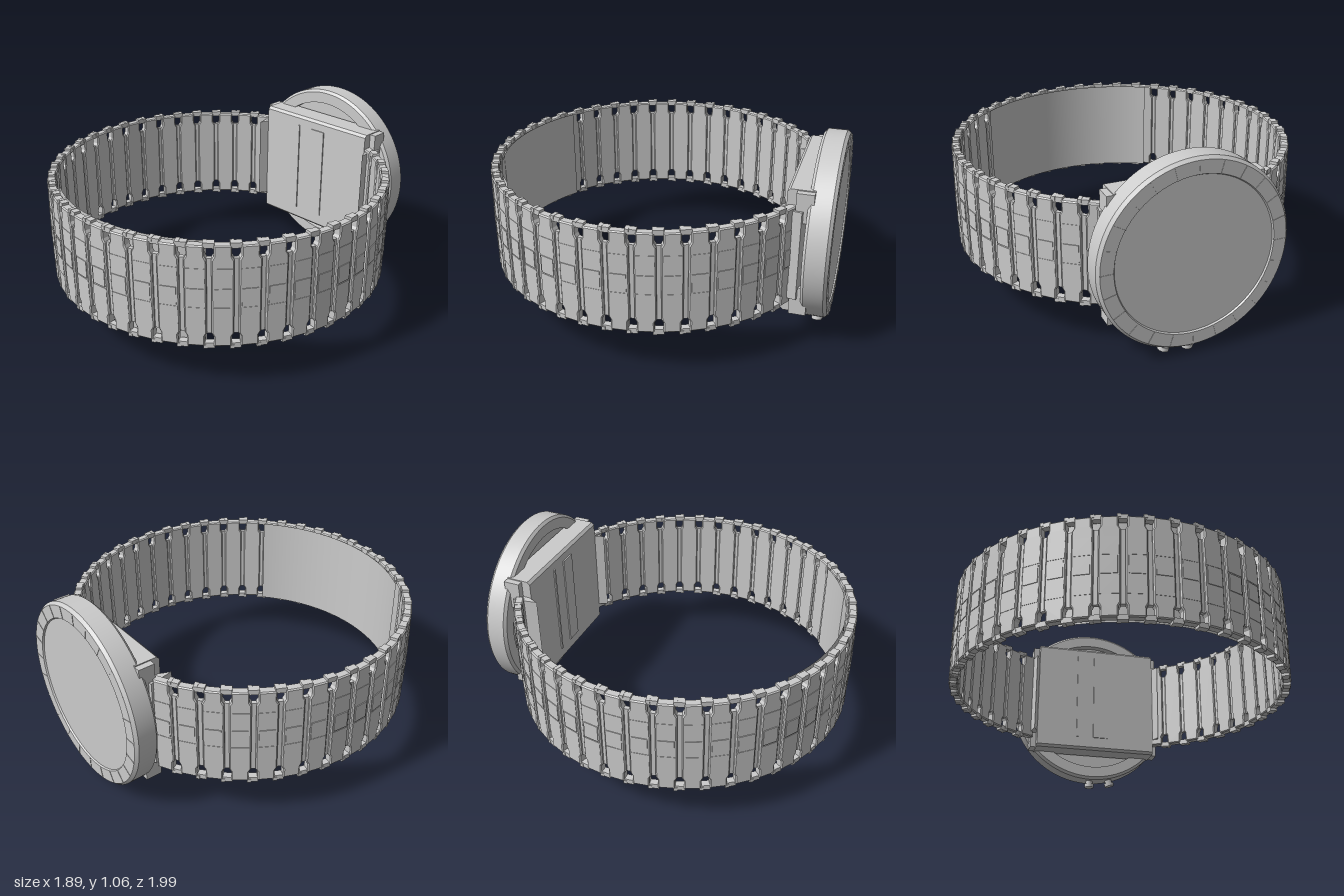
import * as THREE from 'three';
import { mergeGeometries, toCreasedNormals } from 'three/addons/utils/BufferGeometryUtils.js';

const grey = new THREE.MeshStandardMaterial({ color: 0xcccccc });
const thin = new THREE.MeshStandardMaterial({ color: 0xcccccc, side: THREE.DoubleSide });
const MID_Y = 0.54, RING_Z = 0.04, RING_R = 0.917, STEP = THREE.MathUtils.degToRad(8);

function add(parent, name, geometry, material = grey) {
  const mesh = new THREE.Mesh(geometry, material);
  mesh.name = name;
  parent.add(mesh);
  return mesh;
}

const box = (w, h, d, x = 0, y = 0, z = 0) => new THREE.BoxGeometry(w, h, d).translate(x, y, z);

function extrude(points, depth, bevel = 0) {
  const shape = new THREE.Shape(points.map(([x, y]) => new THREE.Vector2(x, y)));
  return new THREE.ExtrudeGeometry(shape, {
    depth, bevelEnabled: bevel > 0, bevelSize: bevel, bevelThickness: bevel, bevelOffset: -bevel, bevelSegments: 1,
  });
}

// plate with slimmer ends and three raised tiles; z points away from the wrist
function plateGeometry() {
  const w = 0.054, n = 0.043, h = 0.275, s = 0.2;
  const outline = [[-n, -h], [n, -h], [n, -s - 0.02], [w, -s], [w, s], [n, s + 0.02], [n, h], [-n, h], [-n, s + 0.02], [-w, s], [-w, -s], [-n, -s - 0.02]];
  const parts = [extrude(outline, 0.036, 0.006).translate(0, 0, -0.018)];
  parts.push(extrude([[-0.04, -0.048], [0.04, -0.048], [0.04, 0.048], [-0.04, 0.048]], 0.006).translate(0, 0, 0.022));
  for (const side of [-1, 1]) {
    parts.push(box(0.094, 0.1, 0.004, 0, side * 0.106, 0.024).toNonIndexed());
  }
  return mergeGeometries(parts);
}

// joint that sits in the gap between two plates, leaving a window near each edge
function jointGeometry() {
  const parts = [box(0.06, 0.41, 0.022)];
  for (const side of [-1, 1]) {
    parts.push(box(0.052, 0.028, 0.036, 0, side * 0.274, 0));
    parts.push(box(0.02, 0.02, 0.042, -0.02, side * 0.28, 0));
  }
  return mergeGeometries(parts);
}

function buildBand() {
  const band = new THREE.Group();
  band.name = 'band';
  const plate = plateGeometry(), joint = jointGeometry();
  const place = (mesh, a) => {
    mesh.position.set(RING_R * Math.sin(a), MID_Y, RING_Z + RING_R * Math.cos(a));
    mesh.rotation.y = a;
  };
  for (let i = -19; i <= 19; i++) {
    place(add(band, 'linkPlate', plate), i * STEP);
    if (i < 19) place(add(band, 'linkJoint', joint), (i + 0.5) * STEP);
  }
  // smooth sheet lining the inside of the front links
  const from = -0.56, to = 0.75;
  const liner = new THREE.CylinderGeometry(0.881, 0.881, 0.55, 40, 1, true, from, to - from);
  add(band, 'innerLiner', liner.translate(0, MID_Y, RING_Z), thin);
  return band;
}

function buildDial() {
  const dial = new THREE.Group();
  dial.name = 'dial';
  const profile = [[0, -0.02], [0.43, -0.02], [0.43, -0.067], [0.495, -0.067], [0.51, -0.052], [0.51, 0.05],
    [0.495, 0.067], [0.425, 0.067], [0.42, 0.058], [0, 0.058]].map(([x, y]) => new THREE.Vector2(x, y));
  const body = new THREE.LatheGeometry(profile, 96).rotateX(-Math.PI / 2);
  add(dial, 'roundCase', toCreasedNormals(body, 0.4));
  // division marks around the bezel
  const mark = box(0.004, 0.07, 0.004, 0, 0.46, -0.067);
  for (let i = 0; i < 24; i++) add(dial, 'bezelMark', mark).rotation.z = i * Math.PI / 12;
  // two push buttons on the lower rim
  const button = mergeGeometries([
    new THREE.CylinderGeometry(0.022, 0.022, 0.04, 20).translate(0, -0.515, 0),
    new THREE.CylinderGeometry(0.03, 0.03, 0.022, 20).translate(0, -0.539, 0),
  ]);
  for (const angle of [0, 0.25]) add(dial, 'pushButton', button).rotation.z = angle;
  dial.position.set(0.015, 0.55, -0.922);
  dial.rotation.y = 0.02;
  return dial;
}

function buildMount() {
  const mount = new THREE.Group();
  mount.name = 'mount';
  // block between dial and wrist, chamfered on the wrist side
  const side = [[-0.055, -0.335], [-0.04, -0.35], [0.085, -0.35], [0.085, 0.35], [-0.04, 0.35], [-0.055, 0.335]];
  add(mount, 'mountBlock', extrude(side, 0.76).translate(0, 0, -0.38).rotateY(Math.PI / 2));
  // raised strips on the wrist side
  add(mount, 'wideStrip', box(0.095, 0.56, 0.008, 0.03, 0.01, 0.058));
  add(mount, 'narrowStrip', box(0.014, 0.56, 0.008, -0.12, 0.01, 0.058));
  for (const s of [-1, 1]) {
    // corner lugs and the wedge that meets the band
    for (const t of [-1, 1]) add(mount, 'lug', box(0.06, 0.16, 0.09, s * 0.385, t * 0.265, -0.04));
    const wedge = [[s * 0.43, 0.03], [s * 0.37, 0.05], [s * 0.37, -0.02], [s * 0.405, -0.105]];
    add(mount, 'bandWedge', extrude(wedge, 0.5).rotateX(-Math.PI / 2).translate(0, -0.25, 0));
  }
  mount.position.set(0.02, 0.55, -0.8);
  mount.rotation.y = 0.02;
  return mount;
}

export function createModel() {
  const model = new THREE.Group();
  model.name = 'wristwatch';
  model.add(buildBand(), buildDial(), buildMount());
  return model;
}
